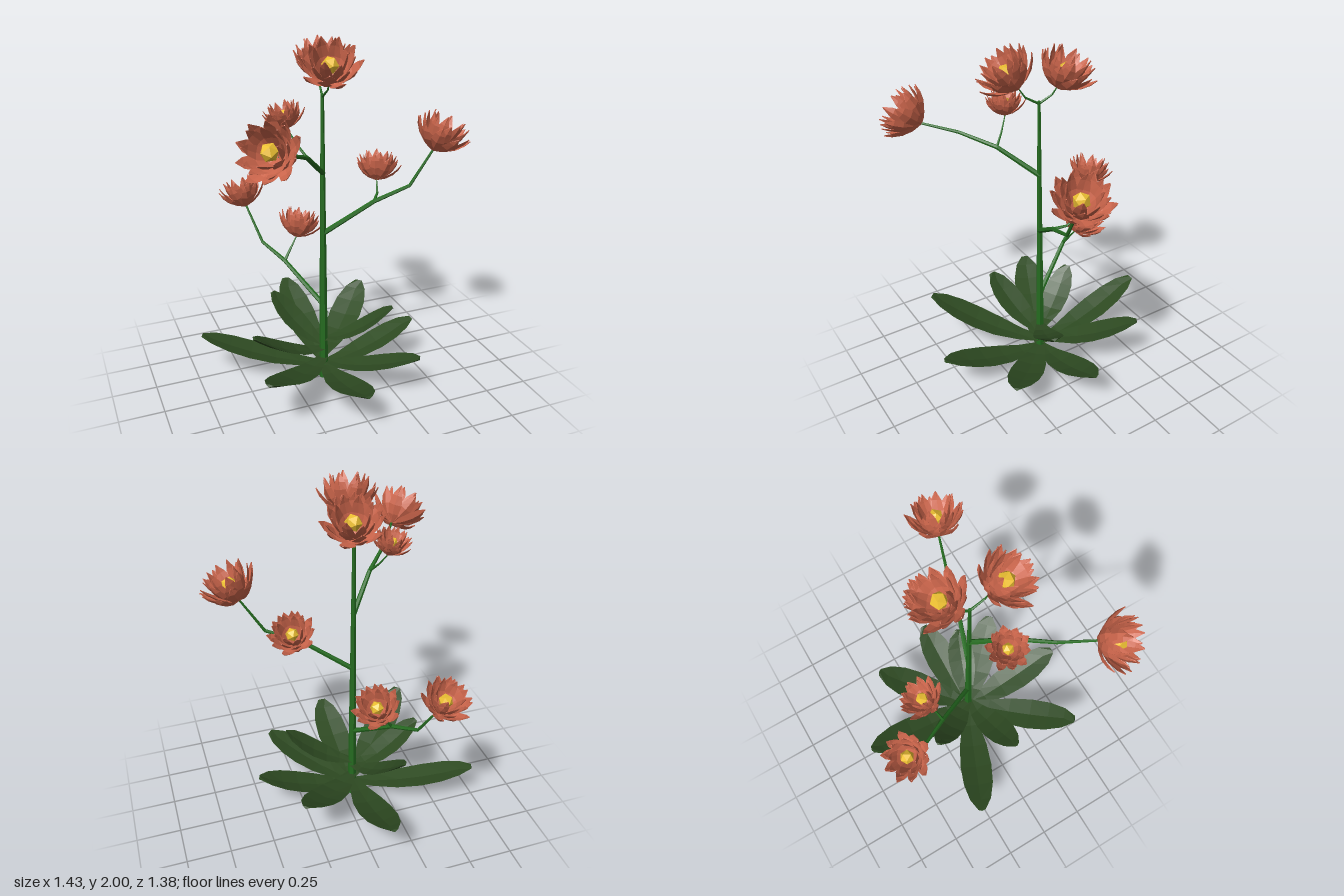
import * as THREE from 'three';
import { mergeGeometries } from 'three/addons/utils/BufferGeometryUtils.js';

const mat = (color) => new THREE.MeshStandardMaterial({ color, flatShading: true });
const V = (a) => new THREE.Vector3(...a);

// Thin blade along +z: path of [z, y, halfWidth]; edges lifted by cup, diamond cross-section
function blade(path, cup, thick) {
  const pos = [], idx = [], n = path.length;
  path.forEach(([z, y, w], i) => {
    const a = path[Math.max(i - 1, 0)], b = path[Math.min(i + 1, n - 1)];
    const dz = b[0] - a[0], dy = b[1] - a[1], len = Math.hypot(dz, dy);
    const nz = -dy / len, ny = dz / len;
    const put = (x, h) => pos.push(x, y + ny * h, z + nz * h);
    put(w, cup * w);
    put(0, thick / 2);
    put(-w, cup * w);
    put(0, -thick / 2);
  });
  for (let i = 0; i < n - 1; i++) {
    for (let j = 0; j < 4; j++) {
      const a = i * 4 + j, b = i * 4 + (j + 1) % 4;
      idx.push(a, b, b + 4, a, b + 4, a + 4);
    }
  }
  const e = (n - 1) * 4;
  idx.push(0, 2, 1, 0, 3, 2, e, e + 1, e + 2, e, e + 2, e + 3);
  const g = new THREE.BufferGeometry();
  g.setAttribute('position', new THREE.Float32BufferAttribute(pos, 3));
  g.setIndex(idx);
  g.computeVertexNormals();
  return g;
}

// Tapered polyline of short cylinders
function limb(points, r0, r1, material, name) {
  const group = new THREE.Group();
  group.name = name;
  const n = points.length - 1;
  for (let i = 0; i < n; i++) {
    const a = V(points[i]), b = V(points[i + 1]), d = b.clone().sub(a);
    const ra = r0 + (r1 - r0) * i / n, rb = r0 + (r1 - r0) * (i + 1) / n;
    const m = new THREE.Mesh(new THREE.CylinderGeometry(rb, ra, d.length() + ra * 0.4, 6), material);
    m.position.copy(a).add(b).multiplyScalar(0.5);
    m.quaternion.setFromUnitVectors(V([0, 1, 0]), d.normalize());
    m.name = name + 'Section';
    group.add(m);
  }
  return group;
}

// Three rings of pointed petals, opening outward
function petalGeometry() {
  const rings = [
    { count: 10, turn: 0, path: [[0.006, 0, 0.01], [0.06, 0.018, 0.03], [0.108, 0.05, 0.038], [0.142, 0.09, 0.029], [0.16, 0.128, 0.003]] },
    { count: 9, turn: 0.3, path: [[0.006, 0.005, 0.01], [0.054, 0.03, 0.028], [0.094, 0.074, 0.037], [0.12, 0.124, 0.028], [0.133, 0.168, 0.003]] },
    { count: 8, turn: 0.1, path: [[0.006, 0.01, 0.01], [0.046, 0.036, 0.024], [0.077, 0.088, 0.033], [0.094, 0.145, 0.025], [0.1, 0.192, 0.003]] },
  ];
  const parts = [];
  for (const { count, turn, path } of rings) {
    for (let i = 0; i < count; i++) {
      // Every other petal stands slightly steeper
      const petal = blade(path, 0.25, 0.006).rotateX(i % 2 ? -0.07 : 0.03);
      parts.push(petal.rotateY(turn + i / count * Math.PI * 2));
    }
  }
  return mergeGeometries(parts);
}

export function createModel() {
  const model = new THREE.Group();
  model.name = 'floweringPlant';
  const stemMat = mat(0x256b20), leafMat = mat(0x2e4b22), petalMat = mat(0xcb654b), coreMat = mat(0xeec133);

  // Main stem
  model.add(limb([[-0.06, 0, 0], [-0.06, 0.84, 0], [-0.06, 1.68, 0]], 0.027, 0.009, stemMat, 'stem'));

  // Leaf rosette: [tip x, tip y, tip z, base y, width factor]
  const leaves = [
    [-0.71, 0.25, -0.29, 0.075, 1], [-0.06, 0.25, 0.635, 0.07, 1],
    [0.51, 0.26, 0, 0.075, 1], [0.35, 0.25, 0.41, 0.085, 1],
    [-0.06, 0.32, -0.685, 0.1, 1], [-0.54, 0.345, 0.48, 0.12, 1],
    [0.345, 0.355, -0.41, 0.14, 1], [-0.5, 0.385, 0.08, 0.18, 0.9],
    [-0.26, 0.43, -0.33, 0.21, 0.85], [0.31, 0.445, 0.14, 0.24, 0.85],
  ];
  const leafShape = [[0, 0.028], [0.2, 0.056], [0.4, 0.086], [0.6, 0.097], [0.77, 0.09], [0.91, 0.064], [1, 0.022]];
  for (const [x, y, z, base, wide] of leaves) {
    const dx = x + 0.06, len = Math.hypot(dx, z);
    const path = leafShape.map(([t, w]) => [t * len, (y - base) * t ** 1.9, w * wide]);
    const leaf = new THREE.Mesh(blade(path, 0.24, 0.016), leafMat);
    leaf.position.set(-0.06, base, 0);
    leaf.rotation.y = Math.atan2(dx, z);
    leaf.name = 'leaf';
    model.add(leaf);
  }

  // Each flower: the way it faces, its size, and the branch it ends
  const flowers = [
    { dir: [0.2, 0.9, -0.42], size: 1, r: 0.007, path: [[-0.06, 1.67, 0], [-0.045, 1.71, -0.07], [-0.03, 1.75, -0.088]] },
    { dir: [-0.2, 0.8, 0.5], size: 1, r: 0.007, path: [[-0.06, 1.67, 0], [-0.062, 1.72, 0.08], [-0.065, 1.78, 0.12]] },
    { dir: [-0.6, 0.45, 0.55], size: 1, r: 0.015, path: [[-0.06, 1.26, 0], [-0.21, 1.41, 0.17], [-0.35, 1.48, 0.32], [-0.455, 1.53, 0.48]] },
    { dir: [-0.2, 1, -0.12], size: 0.68, r: 0.008, path: [[-0.21, 1.41, 0.17], [-0.245, 1.47, 0.12], [-0.28, 1.545, 0.075]] },
    { dir: [0.42, 0.9, 0.1], size: 1, r: 0.015, path: [[-0.06, 0.91, 0], [0.205, 1.09, 0.085], [0.395, 1.17, 0.13], [0.515, 1.365, 0.155]] },
    { dir: [0.28, 0.85, -0.4], size: 0.8, r: 0.009, path: [[0.205, 1.09, 0.085], [0.25, 1.115, 0.03], [0.272, 1.17, -0.03]] },
    { dir: [-0.18, 0.9, -0.4], size: 0.86, r: 0.015, path: [[-0.06, 0.47, 0], [-0.2, 0.66, -0.255], [-0.285, 0.73, -0.41], [-0.345, 0.93, -0.52]] },
    { dir: [0.35, 0.85, -0.3], size: 0.84, r: 0.009, path: [[-0.2, 0.66, -0.255], [-0.16, 0.72, -0.27], [-0.115, 0.785, -0.29]] },
  ];
  const petals = petalGeometry();
  const core = new THREE.IcosahedronGeometry(0.045, 0);
  for (const { dir, size, r, path } of flowers) {
    model.add(limb(path, r, r * 0.4, stemMat, 'branch'));
    const flower = new THREE.Group();
    flower.name = 'flower';
    const petalMesh = new THREE.Mesh(petals, petalMat);
    petalMesh.name = 'petals';
    const coreMesh = new THREE.Mesh(core, coreMat);
    coreMesh.name = 'flowerCore';
    coreMesh.position.y = 0.1;
    flower.add(petalMesh, coreMesh);
    flower.position.set(...path[path.length - 1]);
    flower.quaternion.setFromUnitVectors(V([0, 1, 0]), V(dir).normalize());
    flower.scale.setScalar(size);
    model.add(flower);
  }
  return model;
}
